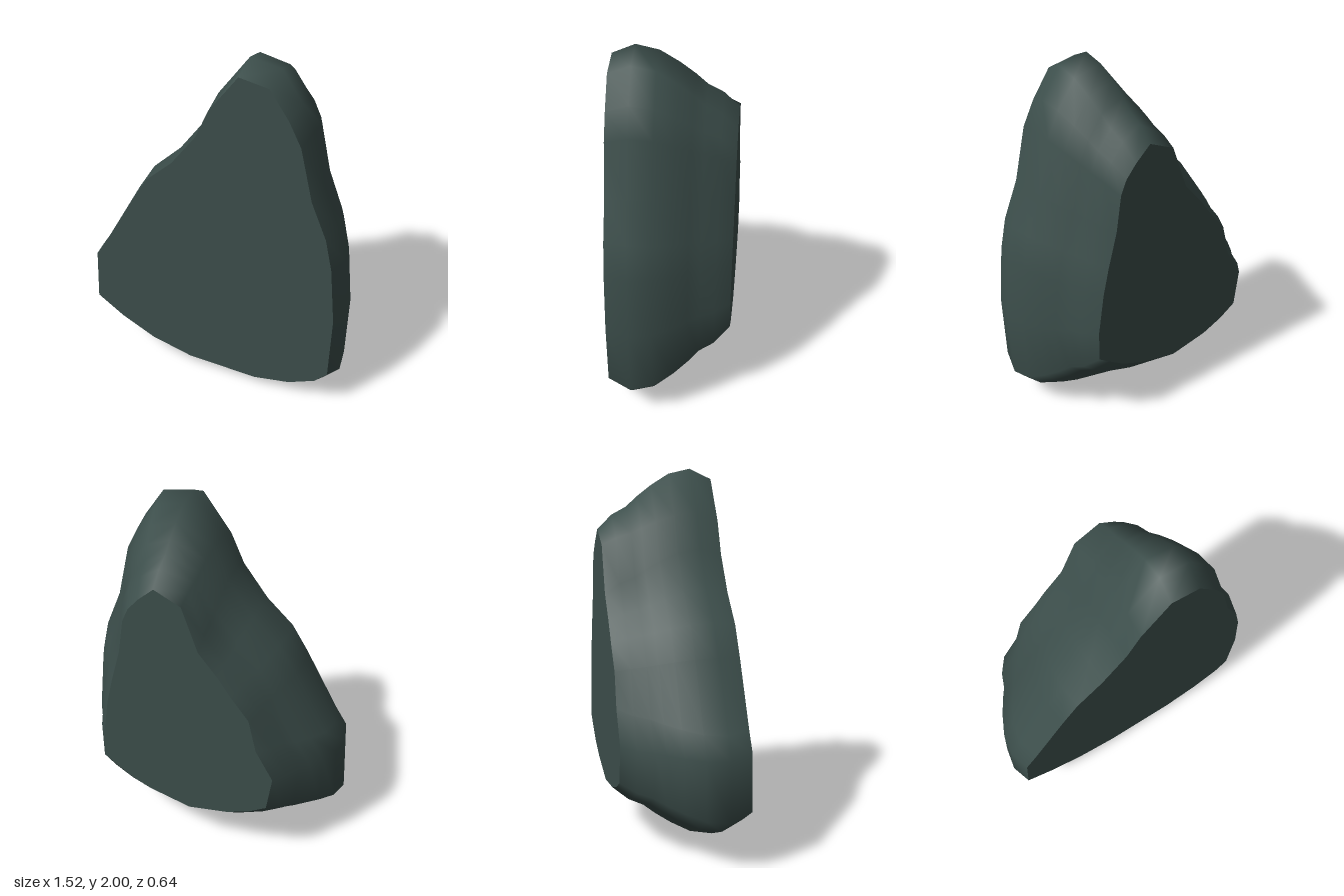
import * as THREE from 'three';

// Matching outlines, running anticlockwise from the peak: [x, y] at the widest girth and on the back face
const girth = [
  [0.18, 2.0], [0.01, 1.77], [-0.07, 1.59], [-0.22, 1.39], [-0.38, 1.24], [-0.48, 1.08],
  [-0.68, 0.72], [-0.75, 0.61], [-0.765, 0.28], [-0.6, 0.17], [-0.39, 0.07], [-0.14, 0.01],
  [0.29, 0], [0.51, 0.045], [0.67, 0.12], [0.745, 0.2], [0.76, 0.6], [0.73, 0.95],
  [0.69, 1.14], [0.6, 1.36], [0.53, 1.67], [0.46, 1.81], [0.35, 1.97],
];
const back = [
  [0.18, 1.68], [0.03, 1.61], [-0.06, 1.36], [-0.17, 1.23], [-0.24, 1.13], [-0.345, 1.0],
  [-0.39, 0.81], [-0.49, 0.64], [-0.46, 0.43], [-0.36, 0.37], [-0.23, 0.32], [0, 0.28],
  [0.24, 0.34], [0.36, 0.39], [0.45, 0.45], [0.52, 0.5], [0.52, 0.67], [0.485, 0.9],
  [0.45, 1.05], [0.395, 1.25], [0.365, 1.45], [0.33, 1.53], [0.27, 1.6],
];
// Rings along the depth: [z, blend from girth to back outline]
const rings = [[0.2, 0], [0.08, 0.08], [-0.02, 0.27], [-0.1, 0.46], [-0.16, 0.63], [-0.24, 0.76], [-0.32, 1]];

const blend = (t) => girth.map(([x, y], i) => [x + (back[i][0] - x) * t, y + (back[i][1] - y) * t]);

// Smooth skin lofted through the rings, front to back
function loft(sections) {
  const n = girth.length, pos = [], index = [];
  for (const { z, pts } of sections) for (const [x, y] of pts) pos.push(x, y, z);
  for (let s = 0; s < sections.length - 1; s++) {
    for (let i = 0; i < n; i++) {
      const a = s * n + i, b = s * n + (i + 1) % n;
      index.push(a, a + n, b, b, a + n, b + n);
    }
  }
  const g = new THREE.BufferGeometry();
  g.setAttribute('position', new THREE.Float32BufferAttribute(pos, 3));
  g.setIndex(index);
  g.computeVertexNormals();
  return g;
}

// Flat face closing one end
function cap({ z, pts }, facesBack) {
  const shape = new THREE.Shape(pts.map(([x, y]) => new THREE.Vector2(facesBack ? -x : x, y)));
  const g = new THREE.ShapeGeometry(shape);
  if (facesBack) g.rotateY(Math.PI);
  return g.translate(0, 0, z);
}

export function createModel() {
  const group = new THREE.Group();
  group.name = 'rock';
  const stone = new THREE.MeshStandardMaterial({ color: 0x3c4e4b });
  const add = (name, geometry) => {
    const mesh = new THREE.Mesh(geometry, stone);
    mesh.name = name;
    group.add(mesh);
  };

  // The front face is drawn in slightly from the girth
  const front = { z: 0.32, pts: girth.map(([x, y]) => [x * 0.957, 1 + (y - 1) * 0.942]) };
  const sections = [front, ...rings.map(([z, t]) => ({ z, pts: blend(t) }))];

  add('rockSides', loft(sections));
  add('frontFace', cap(front, false));
  add('backFace', cap(sections[sections.length - 1], true));
  return group;
}
